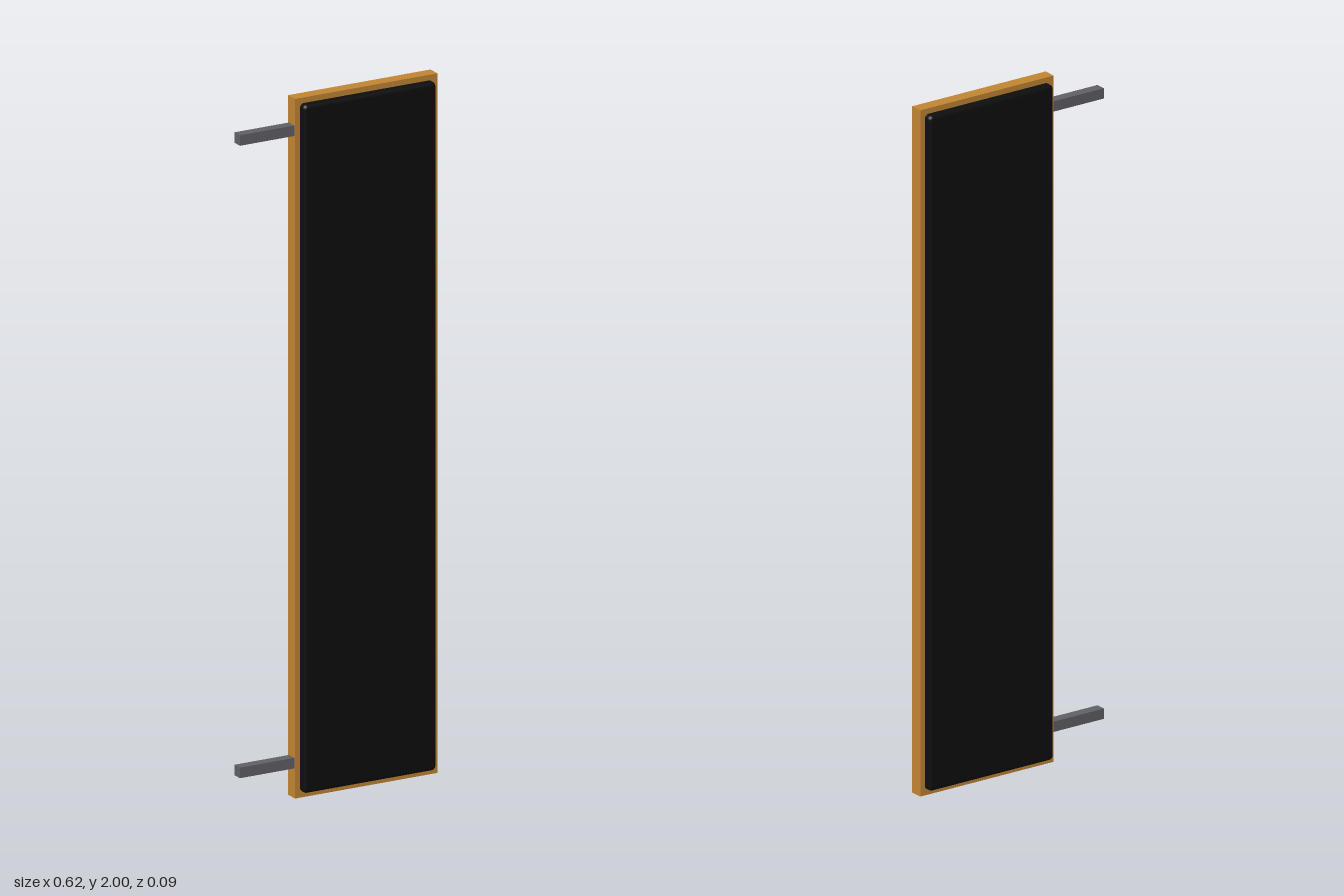
import * as THREE from 'three';
import { RoundedBoxGeometry } from 'three/addons/geometries/RoundedBoxGeometry.js';

export function createModel() {
  const model = new THREE.Group();
  model.name = 'wallSign';

  const wood = new THREE.MeshStandardMaterial({ name: 'ochreFrame', color: 0xc08433 });
  const black = new THREE.MeshStandardMaterial({ name: 'blackPanel', color: 0x0d0d0d });
  const metal = new THREE.MeshStandardMaterial({ name: 'greyMetal', color: 0x605f65 });

  const add = (name, geometry, material, x, y, z = 0) => {
    const mesh = new THREE.Mesh(geometry, material);
    mesh.name = name;
    mesh.position.set(x, y, z);
    model.add(mesh);
  };

  const boardX = 0.085;

  // Thin board whose edge shows as a border around the panels
  add('frameBoard', new THREE.BoxGeometry(0.445, 2, 0.038), wood, boardX, 1);

  // Thick soft-edged panel passing through the board, showing on both faces
  add('signPanel', new RoundedBoxGeometry(0.414, 1.968, 0.086, 3, 0.012), black, boardX, 1);

  // Square wall brackets near the top and bottom
  for (const [name, y] of [['upperBracket', 1.908], ['lowerBracket', 0.1]]) {
    add(name, new THREE.BoxGeometry(0.18, 0.03, 0.03), metal, -0.2175, y);
  }

  return model;
}
